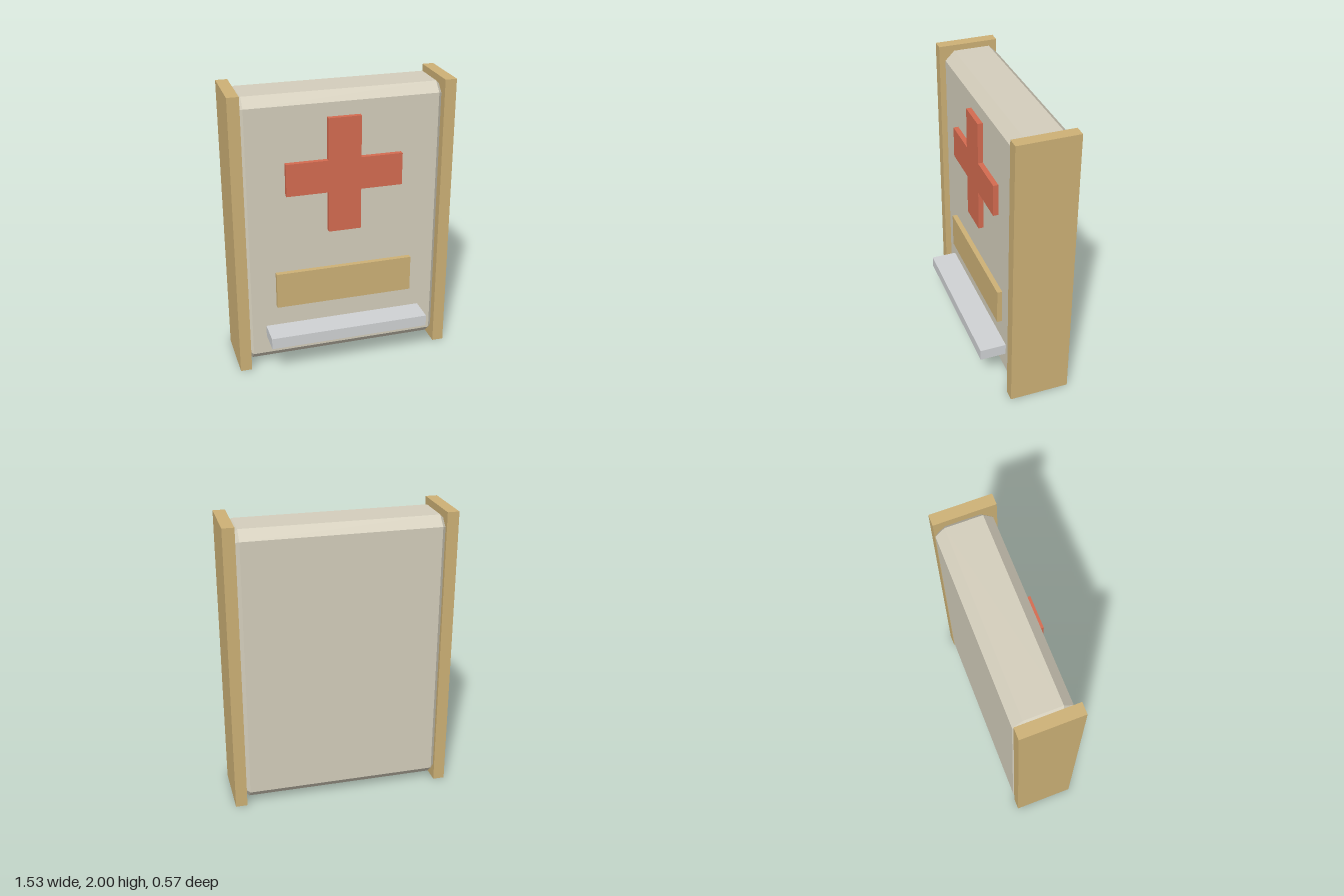
import * as THREE from 'three';

const mat = (name, color) => {
  const m = new THREE.MeshStandardMaterial({ color });
  m.name = name;
  return m;
};

const polygon = (points) => new THREE.Shape(points.map(([x, y]) => new THREE.Vector2(x, y)));

export function createModel() {
  const group = new THREE.Group();
  const shell = mat('warm grey', 0xd4cebc);
  const wood = mat('tan wood', 0xcdb176);
  const red = mat('red', 0xd46b50);
  const metal = mat('light metal', 0xd0d2d4);

  const add = (name, geometry, material) => {
    const mesh = new THREE.Mesh(geometry, material);
    mesh.name = name;
    group.add(mesh);
    return mesh;
  };
  // box given by its limits on each axis
  const box = (name, material, [x0, x1], [y0, y1], [z0, z1]) =>
    add(name, new THREE.BoxGeometry(x1 - x0, y1 - y0, z1 - z0), material)
      .position.set((x0 + x1) / 2, (y0 + y1) / 2, (z0 + z1) / 2);

  // cabinet: octagonal side profile extruded across x, with bevelled ends
  const front = 0.1, back = -0.283, bottom = 0.035, top = 1.97;
  const chamfer = 0.065, bevel = 0.025, halfWidth = 0.685;
  const profile = polygon([
    [-front + chamfer, bottom], [-back - chamfer, bottom],
    [-back, bottom + chamfer], [-back, top - chamfer],
    [-back - chamfer, top], [-front + chamfer, top],
    [-front, top - chamfer], [-front, bottom + chamfer],
  ]);
  const cabinet = new THREE.ExtrudeGeometry(profile, {
    depth: 2 * (halfWidth - bevel), bevelEnabled: true, bevelSegments: 1,
    bevelThickness: bevel, bevelSize: bevel, bevelOffset: -bevel,
  });
  cabinet.translate(0, 0, -(halfWidth - bevel));
  cabinet.rotateY(Math.PI / 2); // profile x becomes -z
  add('cabinet', cabinet, shell);

  // side panels
  for (const [name, s] of [['leftPanel', 1], ['rightPanel', -1]]) {
    const xs = [s * 0.685, s * 0.765].sort((a, b) => a - b);
    box(name, wood, xs, [0, 2], [-0.283, 0.135]);
  }

  // raised cross
  const arm = 0.402, half = 0.113;
  const cross = new THREE.ExtrudeGeometry(polygon([
    [-half, -arm], [half, -arm], [half, -half], [arm, -half],
    [arm, half], [half, half], [half, arm], [-half, arm],
    [-half, half], [-arm, half], [-arm, -half], [-half, -half],
  ]), { depth: 0.035, bevelEnabled: false });
  add('cross', cross, red).position.set(0, 1.407, front);

  // name plate and ledge
  box('plate', wood, [-0.485, 0.485], [0.47, 0.727], [front, 0.135]);
  box('ledge', metal, [-0.563, 0.563], [0.237, 0.317], [front, 0.283]);

  return group;
}
